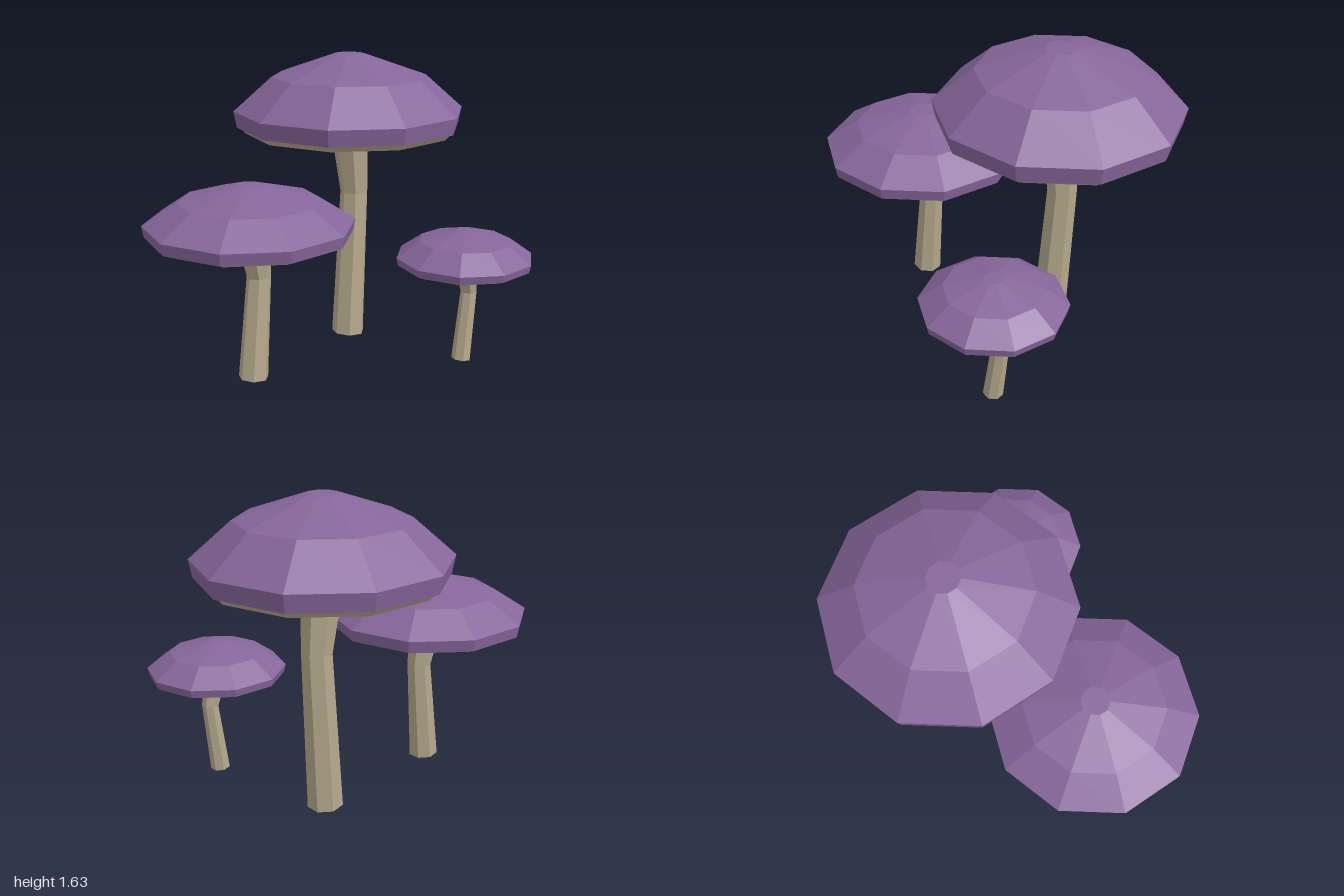
import * as THREE from 'three';

const capPurple = new THREE.MeshStandardMaterial({ color: 0x87669b });
const stemBeige = new THREE.MeshStandardMaterial({ color: 0xb5a98c });
capPurple.name = 'cap purple';
stemBeige.name = 'stem beige';

// One normal per face for the faceted look
function facet(geometry) {
  const flat = geometry.index ? geometry.toNonIndexed() : geometry;
  flat.computeVertexNormals();
  return flat;
}

function part(name, geometry, material) {
  const mesh = new THREE.Mesh(facet(geometry), material);
  mesh.name = name;
  return mesh;
}

// Solid of revolution from [radius, y] pairs, with a corner on the x axis
function turned(profile) {
  const points = profile.map(([r, y]) => new THREE.Vector2(r, y));
  return new THREE.LatheGeometry(points, 10, Math.PI / 10);
}

// Seven-sided bent stem through rings of [x, y, radius, slope]
function stemGeometry(rings, z) {
  const sides = 7;
  const positions = [];
  const index = [];
  for (const [x, y, r, slope] of rings) {
    for (let i = 0; i < sides; i++) {
      const a = (i / sides) * Math.PI * 2;
      const dx = -Math.cos(a) * r;
      positions.push(x + dx, y + dx * slope, z + Math.sin(a) * r);
    }
  }
  for (let k = 0; k < rings.length - 1; k++) {
    for (let i = 0; i < sides; i++) {
      const a = k * sides + i;
      const b = k * sides + ((i + 1) % sides);
      index.push(a, b, b + sides, a, b + sides, a + sides);
    }
  }
  // End caps
  const top = (rings.length - 1) * sides;
  for (let i = 1; i < sides - 1; i++) {
    index.push(0, i + 1, i, top, top + i, top + i + 1);
  }
  const geometry = new THREE.BufferGeometry();
  geometry.setAttribute('position', new THREE.Float32BufferAttribute(positions, 3));
  geometry.setIndex(index);
  return geometry;
}

function mushroom({ name, x, z, cap, gills, stem }) {
  const group = new THREE.Group();
  group.name = name;

  const [, rimY] = cap[0];
  const capMesh = part('cap', turned([[0, rimY], ...cap, [0, cap[cap.length - 1][1]]]), capPurple);
  capMesh.position.set(x, 0, z);

  const gillMesh = part('gills', turned([[0, gills[0][1]], ...gills, [0, gills[1][1]]]), stemBeige);
  gillMesh.position.set(x, 0, z);

  group.add(capMesh, gillMesh, part('stem', stemGeometry(stem, z), stemBeige));
  return group;
}

export function createModel() {
  const model = new THREE.Group();
  model.name = 'mushroomCluster';
  model.add(
    mushroom({
      name: 'largeMushroom', x: 0.36, z: -0.23,
      cap: [[0.622, 1.235], [0.64, 1.325], [0.43, 1.51], [0.083, 1.632]],
      gills: [[0.575, 1.202], [0.607, 1.236]],
      stem: [[0.36, 0.008, 0.093, -0.06], [0.405, 0.85, 0.079, 0.03], [0.367, 1.22, 0.108, 0]],
    }),
    mushroom({
      name: 'mediumMushroom', x: -0.46, z: -0.11,
      cap: [[0.53, 0.798], [0.542, 0.86], [0.365, 0.975], [0.075, 1.055]],
      gills: [[0.485, 0.78], [0.512, 0.799]],
      stem: [[-0.456, 0.008, 0.079, -0.08], [-0.406, 0.56, 0.065, 0.04], [-0.447, 0.79, 0.091, 0]],
    }),
    mushroom({
      name: 'smallMushroom', x: 0.528, z: 0.485,
      cap: [[0.361, 0.561], [0.37, 0.602], [0.248, 0.69], [0.05, 0.742]],
      gills: [[0.332, 0.549], [0.351, 0.562]],
      stem: [[0.532, 0.007, 0.053, -0.11], [0.58, 0.39, 0.045, 0.06], [0.537, 0.555, 0.064, 0]],
    }),
  );
  return model;
}
